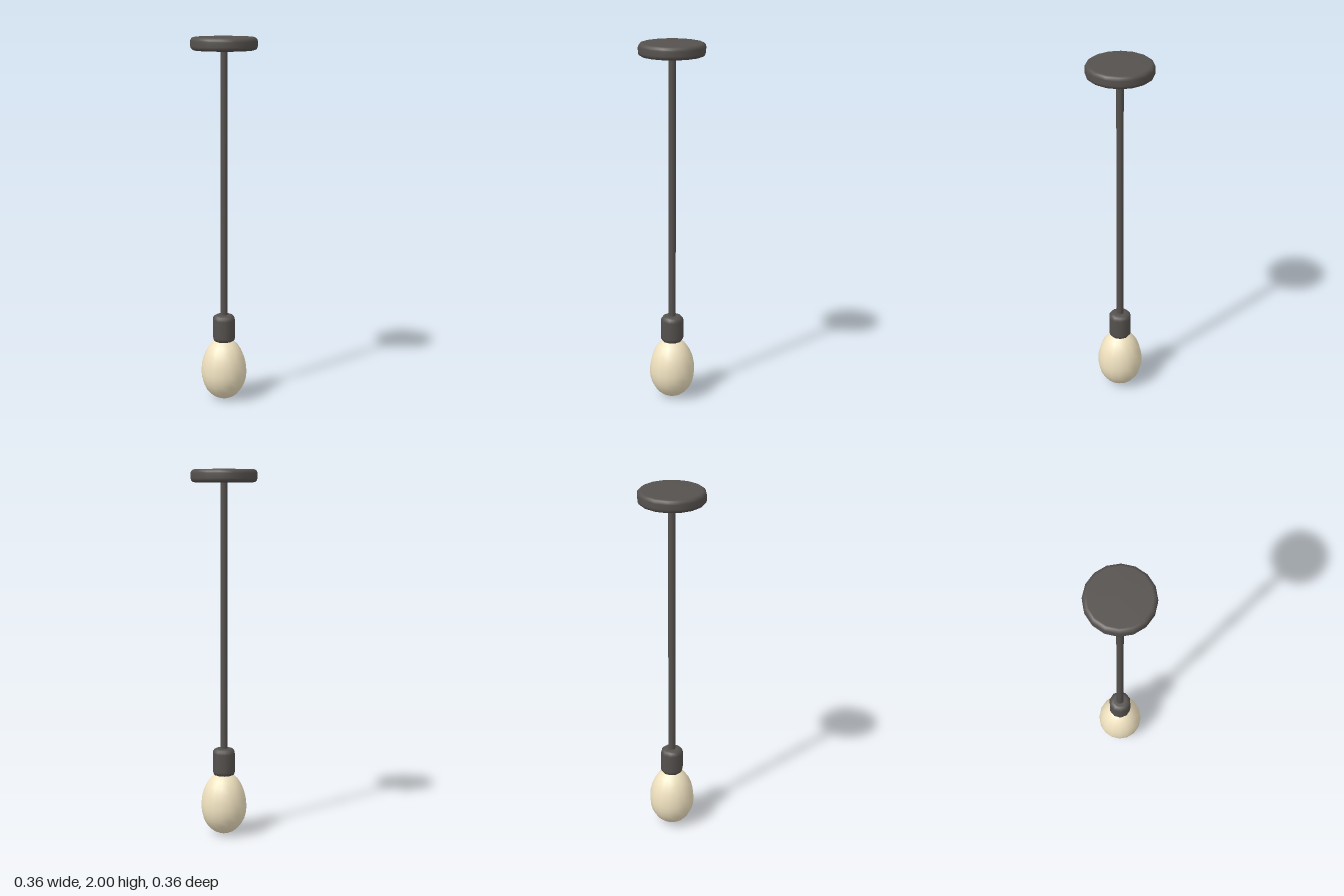
import * as THREE from 'three';

const dark = new THREE.MeshStandardMaterial({ color: 0x55514e });
const cream = new THREE.MeshStandardMaterial({ color: 0xf0e2c0 });

// Closed round part with softened top and bottom rims
function roundedDisc(name, radius, y0, y1, bevel, sides) {
  const points = [new THREE.Vector2(0, y0)];
  const steps = 4;
  for (const [cy, start] of [[y0 + bevel, -Math.PI / 2], [y1 - bevel, 0]]) {
    for (let i = 0; i <= steps; i++) {
      const a = start + (i / steps) * Math.PI / 2;
      points.push(new THREE.Vector2(radius - bevel + Math.cos(a) * bevel, cy + Math.sin(a) * bevel));
    }
  }
  points.push(new THREE.Vector2(0, y1));
  const mesh = new THREE.Mesh(new THREE.LatheGeometry(points, sides, Math.PI / 2), dark);
  mesh.name = name;
  return mesh;
}

export function createModel() {
  const group = new THREE.Group();
  group.name = 'pendantLamp';

  // Ceiling canopy and lamp holder
  group.add(roundedDisc('ceilingCanopy', 0.18, 1.93, 2, 0.022, 16));
  group.add(roundedDisc('bulbSocket', 0.063, 0.325, 0.48, 0.028, 10));

  // Straight hanging rod, sunk into both ends
  const rod = new THREE.Mesh(new THREE.CylinderGeometry(0.02, 0.02, 1.5, 10, 1, false, Math.PI / 2), dark);
  rod.name = 'hangingRod';
  rod.position.y = 1.2;
  group.add(rod);

  // Egg-shaped bulb: taller above its widest ring than below
  const egg = new THREE.SphereGeometry(1, 16, 14);
  const pos = egg.attributes.position;
  for (let i = 0; i < pos.count; i++) {
    const y = pos.getY(i);
    pos.setXYZ(i, pos.getX(i) * 0.126, 0.155 + y * (y > 0 ? 0.193 : 0.155), pos.getZ(i) * 0.126);
  }
  // Smooth normals that follow the two half-ellipsoids, with no seam
  const normal = new THREE.Vector3();
  for (let i = 0; i < pos.count; i++) {
    const y = pos.getY(i) - 0.155;
    const h = y > 0 ? 0.193 : 0.155;
    normal.set(pos.getX(i) / 0.126 ** 2, y / h ** 2, pos.getZ(i) / 0.126 ** 2).normalize();
    egg.attributes.normal.setXYZ(i, normal.x, normal.y, normal.z);
  }
  const bulb = new THREE.Mesh(egg, cream);
  bulb.name = 'bulb';
  group.add(bulb);

  return group;
}
